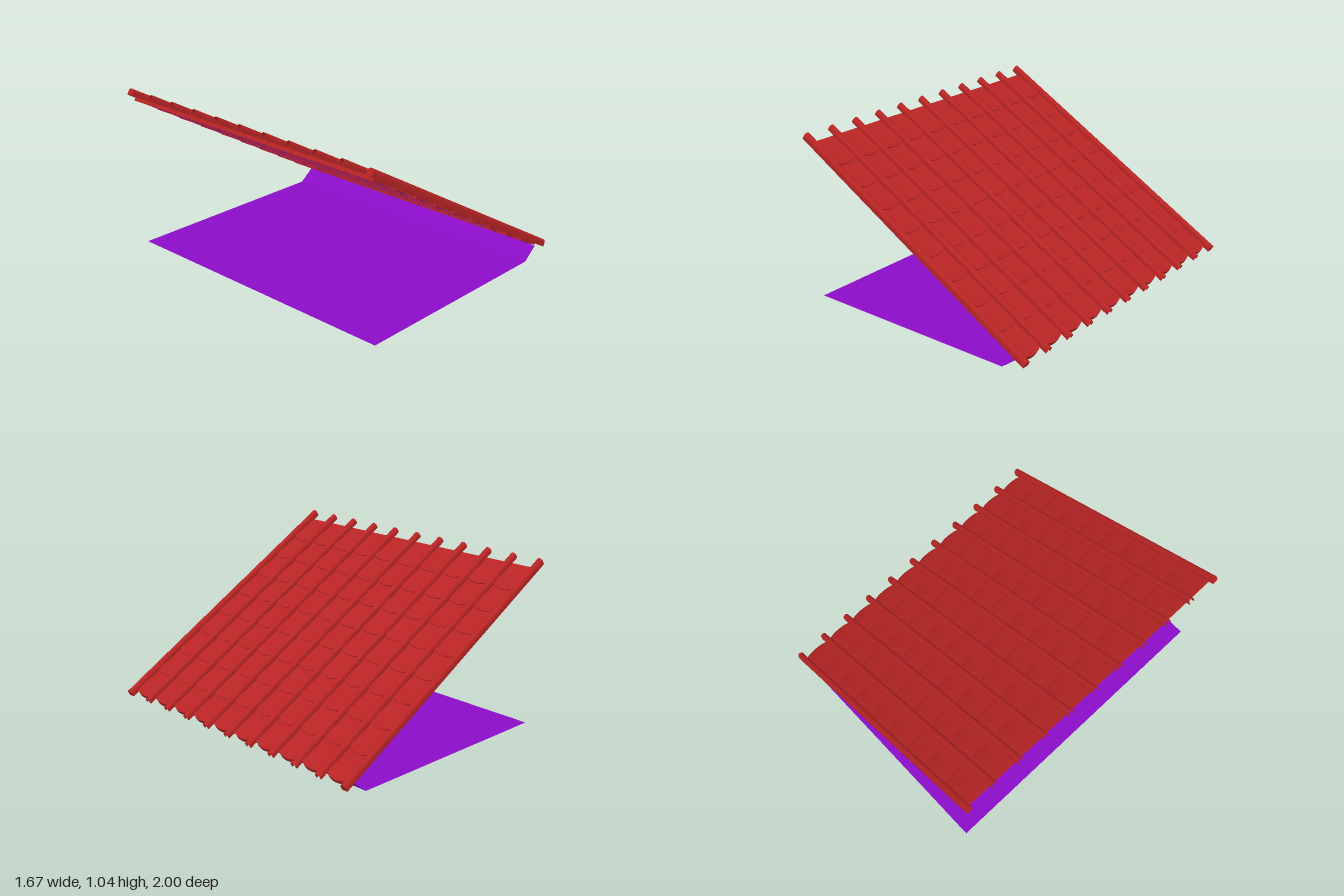
import * as THREE from 'three';
import { toCreasedNormals } from 'three/addons/utils/BufferGeometryUtils.js';

const RED = new THREE.MeshStandardMaterial({ color: 0xb82424 });
const PURPLE = new THREE.MeshStandardMaterial({ color: 0x8a0dc8, side: THREE.DoubleSide });

const COLUMNS = 10, ROWS = 9;
const PITCH = 0.196;            // spacing of ribs across the roof
const ROW_PITCH = 0.199;        // spacing of tile rows down the slope
const HEAD = -1.174;            // upper edge of the first row
const TILE_LENGTH = 0.226, TILE_HALF = 0.095, TILE_THICK = 0.023;
const RIB_START = -1.224, RIB_LENGTH = 1.898;
const RIB_TOP = 0.497, RIB_RADIUS = 0.0195;

// Flat tile with a rounded tail that lifts slightly and sags in the middle
function tileGeometry() {
  const shape = new THREE.Shape();
  const shoulder = TILE_LENGTH - 0.05;
  shape.moveTo(0, -TILE_HALF);
  shape.lineTo(shoulder, -TILE_HALF);
  shape.absellipse(shoulder, 0, 0.05, TILE_HALF, -Math.PI / 2, Math.PI / 2, false, 0);
  shape.lineTo(0, TILE_HALF);
  shape.closePath();
  const geo = new THREE.ExtrudeGeometry(shape, { depth: TILE_THICK, bevelEnabled: false, curveSegments: 14 });
  geo.rotateX(-Math.PI / 2);
  const p = geo.attributes.position;
  for (let i = 0; i < p.count; i++) {
    const s = p.getX(i) / TILE_LENGTH, w = p.getZ(i) / TILE_HALF;
    p.setY(i, p.getY(i) + s * (0.014 - 0.008 * (1 - w * w)));
  }
  return toCreasedNormals(geo, 0.5);
}

// Round-topped rib running down the slope; wall > 0 makes it hollow underneath
function ribGeometry(bottom, wall) {
  const r = RIB_RADIUS, centre = RIB_TOP - r;
  const shape = new THREE.Shape();
  shape.moveTo(r, bottom);
  shape.lineTo(r, centre);
  shape.absarc(0, centre, r, 0, Math.PI, false);
  shape.lineTo(-r, bottom);
  if (wall > 0) {
    const q = r - wall;
    shape.lineTo(-q, bottom);
    shape.lineTo(-q, centre);
    shape.absarc(0, centre, q, Math.PI, 0, true);
    shape.lineTo(q, bottom);
  }
  shape.closePath();
  const geo = new THREE.ExtrudeGeometry(shape, { depth: RIB_LENGTH, bevelEnabled: false, curveSegments: 10 });
  geo.rotateY(Math.PI / 2);
  geo.translate(RIB_START, 0, 0);
  return toCreasedNormals(geo, 0.6);
}

// Folded sheet: a profile in x, y stretched across z
function sheetGeometry(profile, halfWidth) {
  const pos = [];
  for (let i = 0; i < profile.length - 1; i++) {
    const [ax, ay] = profile[i], [bx, by] = profile[i + 1];
    const a = [ax, ay, halfWidth], b = [bx, by, halfWidth];
    const c = [bx, by, -halfWidth], d = [ax, ay, -halfWidth];
    pos.push(...a, ...b, ...c, ...a, ...c, ...d);
  }
  const geo = new THREE.BufferGeometry();
  geo.setAttribute('position', new THREE.Float32BufferAttribute(pos, 3));
  geo.computeVertexNormals();
  return geo;
}

function addMesh(parent, name, geo, material) {
  const mesh = new THREE.Mesh(geo, material);
  mesh.name = name;
  parent.add(mesh);
  return mesh;
}

export function createModel() {
  const model = new THREE.Group();
  model.name = 'tiledRoof';

  // Floor, eave fold and sloping underlay
  addMesh(model, 'underlay', sheetGeometry(
    [[-0.766, 0], [0.648, 0], [0.745, 0.0756], [-0.77, 0.95]], 0.978), PURPLE);

  // Everything on the slope: local x runs downhill, local y is the slope normal
  const slope = new THREE.Group();
  slope.name = 'slope';
  slope.rotation.z = -Math.PI / 6;
  model.add(slope);

  // Overlapping rows of tiles
  const tiles = new THREE.Group();
  tiles.name = 'tiles';
  slope.add(tiles);
  const tile = tileGeometry();
  for (let row = 0; row < ROWS; row++) {
    for (let col = 0; col < COLUMNS; col++) {
      addMesh(tiles, 'tile', tile, RED)
        .position.set(HEAD + row * ROW_PITCH, 0.434, (col - (COLUMNS - 1) / 2) * PITCH);
    }
  }

  // Hollow ribs between columns, solid ribs at both outer edges
  const ribs = new THREE.Group();
  ribs.name = 'ribs';
  slope.add(ribs);
  const innerRib = ribGeometry(0.46, 0.004), edgeRib = ribGeometry(0.453, 0);
  for (let i = 0; i <= COLUMNS; i++) {
    const edge = i === 0 || i === COLUMNS;
    addMesh(ribs, edge ? 'edgeRib' : 'rib', edge ? edgeRib : innerRib, RED)
      .position.z = (i - COLUMNS / 2) * PITCH;
  }
  return model;
}
